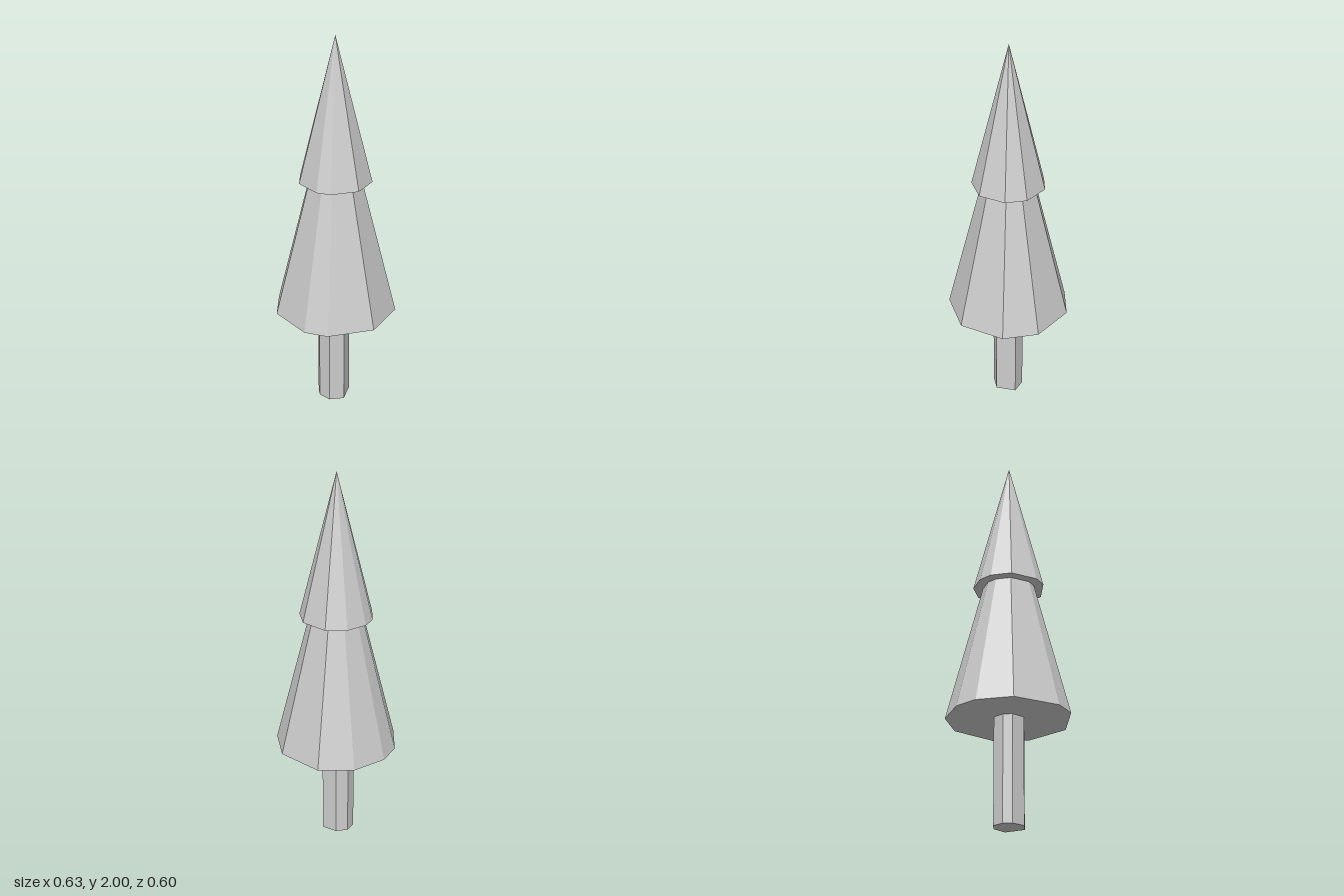
import * as THREE from 'three';

// Irregular outlines as [x, z], running right -> front -> left -> back
const FOLIAGE = [
  [0.312, 0.062], [0.177, 0.263], [0.063, 0.31], [-0.174, 0.263], [-0.291, 0.122],
  [-0.315, 0], [-0.261, -0.175], [-0.12, -0.293], [0.122, -0.293], [0.265, -0.175],
];
const TRUNK = [
  [0.08, 0.02], [0.03, 0.08], [-0.04, 0.08], [-0.075, 0.05],
  [-0.085, -0.01], [-0.045, -0.06], [0.035, -0.075],
];
const AXIS_Z = -0.01;

// Closed faceted solid between a base outline and a scaled top (topScale 0 = point)
function facetedSolid(name, outline, scale, topScale, y0, y1) {
  const pos = [];
  const at = (i, s, y) => {
    const [x, z] = outline[i % outline.length];
    return [x * s, y, z * s + AXIS_Z];
  };
  const tri = (...corners) => corners.forEach((c) => pos.push(...c));
  const bottom = [0, y0, AXIS_Z];
  const top = [0, y1, AXIS_Z];
  for (let i = 0; i < outline.length; i++) {
    const a = at(i, scale, y0), b = at(i + 1, scale, y0);
    tri(a, b, bottom);
    if (topScale === 0) {
      tri(b, a, top);
    } else {
      const c = at(i, topScale, y1), d = at(i + 1, topScale, y1);
      tri(b, a, c);
      tri(b, c, d);
      tri(d, c, top);
    }
  }
  const geometry = new THREE.BufferGeometry();
  geometry.setAttribute('position', new THREE.Float32BufferAttribute(pos, 3));
  geometry.computeVertexNormals();
  const material = new THREE.MeshStandardMaterial({ color: 0xcccccc, flatShading: true });
  const mesh = new THREE.Mesh(geometry, material);
  mesh.name = name;
  return mesh;
}

export function createModel() {
  const tree = new THREE.Group();
  tree.name = 'pineTree';
  // Trunk runs slightly into the foliage
  tree.add(facetedSolid('trunk', TRUNK, 1, 1, 0, 0.56));
  // Two tiers share one shape; the lower tip is hidden inside the upper tier
  tree.add(facetedSolid('lowerFoliage', FOLIAGE, 1, 0, 0.54, 1.8));
  tree.add(facetedSolid('upperFoliage', FOLIAGE, 0.588, 0, 1.26, 2));
  return tree;
}
